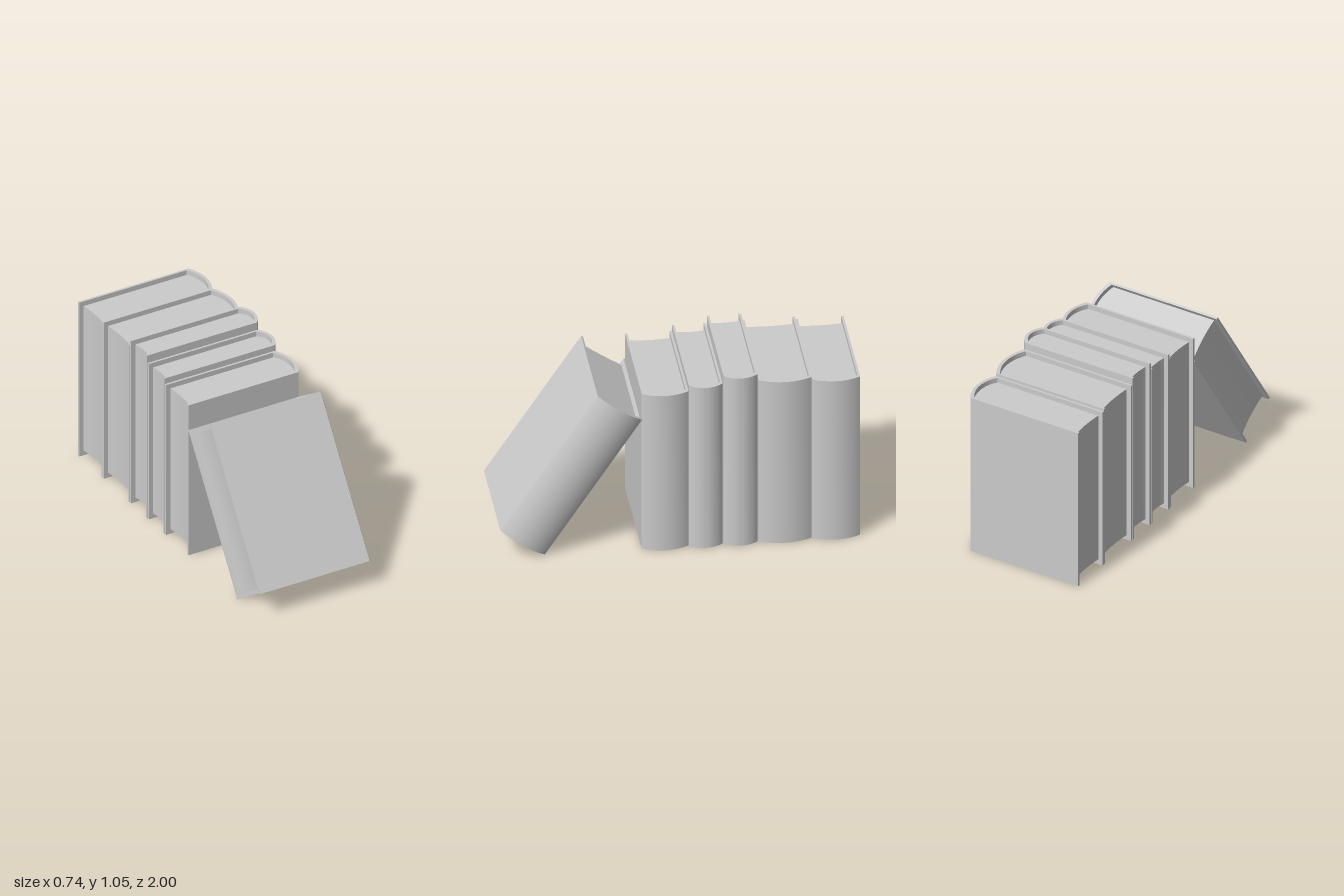
import * as THREE from 'three';
import { toCreasedNormals } from 'three/addons/utils/BufferGeometryUtils.js';

const FORE = -0.37, HINGE = 0.33, SPINE = 0.37; // fore edge, spine hinge, spine crown
const BOARD = 0.013, INSET = 0.03;

const material = new THREE.MeshStandardMaterial({ color: 0xcccccc, side: THREE.DoubleSide });

// points of a circular arc bulging from x = x0 (at z = -half and +half) to x = x1 in the middle
function arc(x0, x1, half, steps = 24) {
  const sag = x1 - x0;
  const r = (half * half + sag * sag) / (2 * Math.abs(sag));
  const a = Math.asin(half / r);
  const points = [];
  for (let i = 0; i <= steps; i++) {
    const t = -a + (2 * a * i) / steps;
    points.push(new THREE.Vector2(x0 + Math.sign(sag) * (r * Math.cos(t) - r + Math.abs(sag)), r * Math.sin(t)));
  }
  return points;
}

// extrude an x/z outline upwards from y = bottom
function upright(outline, bottom, height, name) {
  let geometry = new THREE.ExtrudeGeometry(new THREE.Shape(outline), { depth: height, bevelEnabled: false });
  geometry.rotateX(-Math.PI / 2).translate(0, bottom, 0);
  geometry = toCreasedNormals(geometry, 0.4);
  const mesh = new THREE.Mesh(geometry, material);
  mesh.name = name;
  return mesh;
}

// one hardback standing on y = 0, thickness along z from 0
function createBook(thickness, height) {
  const half = thickness / 2, inner = half - BOARD;
  const innerSpine = arc(HINGE - 0.018, SPINE - 0.018, inner);

  // two boards joined by the rounded spine
  const cover = upright([
    new THREE.Vector2(FORE, -half),
    ...arc(HINGE, SPINE, half),
    new THREE.Vector2(FORE, half),
    new THREE.Vector2(FORE, inner),
    ...innerSpine.slice().reverse(),
    new THREE.Vector2(FORE, -inner),
  ], 0, height, 'cover');

  // page block with a hollow fore edge, set in from the boards
  const pages = upright([
    ...innerSpine,
    ...arc(FORE + 0.028, FORE + 0.037, inner).reverse(),
  ], INSET, height - 2 * INSET, 'pages');

  const book = new THREE.Group();
  cover.position.z = pages.position.z = half;
  book.add(cover, pages);
  return book;
}

export function createModel() {
  const model = new THREE.Group();
  model.name = 'bookRow';

  // standing books: [back z, front z, height]
  [
    [-1, -0.732, 0.995],
    [-0.73, -0.435, 1.01],
    [-0.43, -0.24, 1.05],
    [-0.235, -0.047, 1.005],
    [-0.045, 0.215, 0.97],
  ].forEach(([back, front, height], i) => {
    const book = createBook(front - back, height);
    book.name = `standingBook${i + 1}`;
    book.position.z = back;
    model.add(book);
  });

  // book leaning back against the row
  const leaning = createBook(0.297, 0.973);
  leaning.name = 'leaningBook';
  leaning.rotation.x = -0.59;
  leaning.position.z = 0.754;
  model.add(leaning);

  return model;
}
